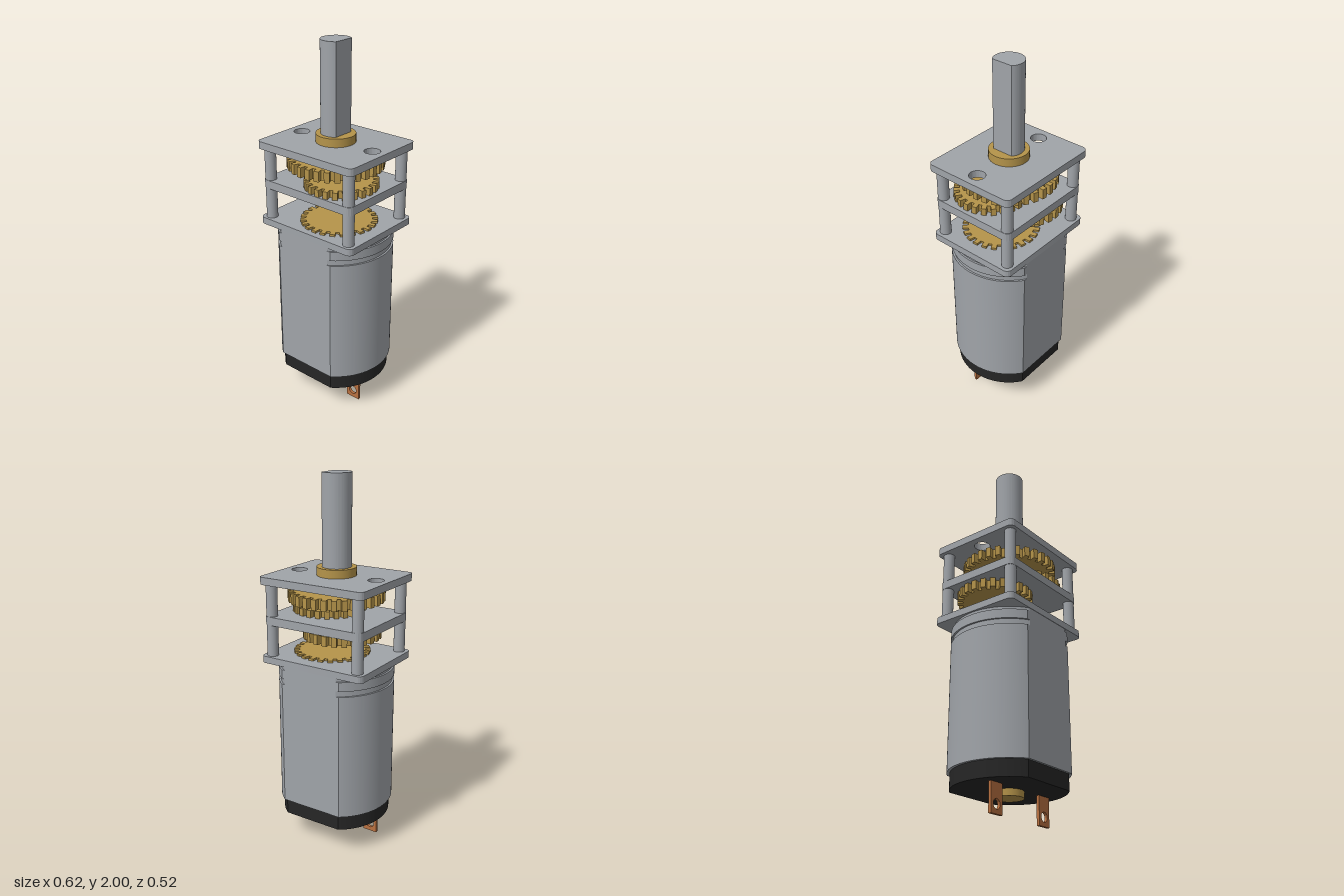
import * as THREE from 'three';
import { toCreasedNormals } from 'three/addons/utils/BufferGeometryUtils.js';

const flat = (name, color) => {
  const m = new THREE.MeshStandardMaterial({ color });
  m.name = name;
  return m;
};

export function createModel() {
  const group = new THREE.Group();
  const steel = flat('steel', 0xa0a4a9);
  const brass = flat('brass', 0xb5944a);
  const copper = flat('copper', 0xb87040);
  const black = flat('black plastic', 0x262626);

  const add = (name, geometry, material, x = 0, y = 0, z = 0) => {
    const mesh = new THREE.Mesh(geometry, material);
    mesh.name = name;
    mesh.position.set(x, y, z);
    group.add(mesh);
    return mesh;
  };

  // Extrude an outline upwards from y0 to y1
  const slab = (name, shape, y0, y1, material, x = 0, z = 0) => {
    const g = new THREE.ExtrudeGeometry(shape, { depth: y1 - y0, bevelEnabled: false, curveSegments: 32 });
    g.rotateX(-Math.PI / 2);
    return add(name, toCreasedNormals(g, 0.4), material, x, y0, z);
  };

  // Upright cylinder from y0 to y1
  const rod = (name, r, y0, y1, material, x = 0, z = 0) =>
    add(name, new THREE.CylinderGeometry(r, r, y1 - y0, 40), material, x, (y0 + y1) / 2, z);

  const holeAt = (x, y, r) => new THREE.Path().absarc(x, y, r, 0, Math.PI * 2, true);

  // Circle trimmed by two parallel flats
  const doubleD = (r, cut) => {
    const a = Math.asin(cut / r);
    return new THREE.Shape()
      .absarc(0, 0, r, -a, a, false)
      .absarc(0, 0, r, Math.PI - a, Math.PI + a, false)
      .closePath();
  };

  // Rectangle with rounded corners
  const plate = (w, d, r) => {
    const s = new THREE.Shape();
    s.absarc(w - r, d - r, r, 0, Math.PI / 2, false);
    s.absarc(-w + r, d - r, r, Math.PI / 2, Math.PI, false);
    s.absarc(-w + r, -d + r, r, Math.PI, Math.PI * 1.5, false);
    s.absarc(w - r, -d + r, r, Math.PI * 1.5, Math.PI * 2, false);
    return s.closePath();
  };

  // Spur gear outline with trapezoid teeth
  const gear = (r, teeth, phase = 0) => {
    const root = r - 0.03, step = (Math.PI * 2) / teeth, points = [];
    for (let i = 0; i < teeth; i++) {
      const a = i * step + phase;
      for (const [rad, k] of [[root, -0.3], [r, -0.26], [r, 0.26], [root, 0.3]]) {
        points.push(new THREE.Vector2(rad * Math.cos(a + k * step), rad * Math.sin(a + k * step)));
      }
    }
    return new THREE.Shape(points);
  };

  // Motor can with a recessed groove and neck
  slab('motorCan', doubleD(0.31, 0.255), 0.235, 0.92, steel);
  slab('canGroove', doubleD(0.3, 0.255), 0.92, 0.95, steel);
  slab('canCollar', doubleD(0.31, 0.255), 0.95, 1.0, steel);
  slab('canNeck', doubleD(0.3, 0.255), 1.0, 1.018, steel);

  // End cap and rear bearing
  slab('endCap', doubleD(0.295, 0.243), 0.15, 0.235, black);
  rod('rearBearing', 0.074, 0.115, 0.15, brass);

  // Terminals with eyelets
  for (const x of [-0.188, 0.188]) {
    const tab = new THREE.Shape()
      .moveTo(-0.042, 0).lineTo(0.042, 0).lineTo(0.042, 0.155).lineTo(-0.042, 0.155).closePath();
    tab.holes.push(holeAt(0, 0.048, 0.025));
    const g = new THREE.ExtrudeGeometry(tab, { depth: 0.016, bevelEnabled: false, curveSegments: 24 });
    add('terminal', toCreasedNormals(g, 0.4), copper, x, 0, 0.058);
  }

  // Gearbox plates
  slab('basePlate', plate(0.31, 0.257, 0.03), 1.018, 1.055, steel);
  slab('middlePlate', plate(0.294, 0.244, 0.03), 1.225, 1.27, steel);
  const top = plate(0.312, 0.26, 0.03);
  for (const x of [-0.235, 0.235]) top.holes.push(holeAt(x, 0, 0.042));
  slab('topPlate', top, 1.44, 1.48, steel);

  // Corner spacers
  for (const x of [-0.262, 0.262]) {
    for (const z of [-0.213, 0.213]) {
      rod('lowerSpacer', 0.03, 1.055, 1.225, steel, x, z);
      rod('upperSpacer', 0.03, 1.27, 1.44, steel, x, z);
    }
  }

  // Gear train
  slab('firstGear', gear(0.205, 24), 1.055, 1.066, brass, 0.04, 0.02);
  slab('secondGear', gear(0.205, 24, 0.1), 1.173, 1.224, brass, -0.065, -0.047);
  slab('thirdGear', gear(0.194, 24, 0.26), 1.271, 1.31, brass, 0.08, 0.05);
  slab('outputGear', gear(0.255, 30), 1.35, 1.405, brass);

  // Output bushing and D-shaped shaft
  rod('bushing', 0.104, 1.48, 1.525, brass);
  const a = Math.acos(0.051 / 0.078);
  const shaft = new THREE.Shape().absarc(0, 0, 0.078, a, Math.PI * 2 - a, false).closePath();
  slab('outputShaft', shaft, 1.525, 2, steel);

  return group;
}
